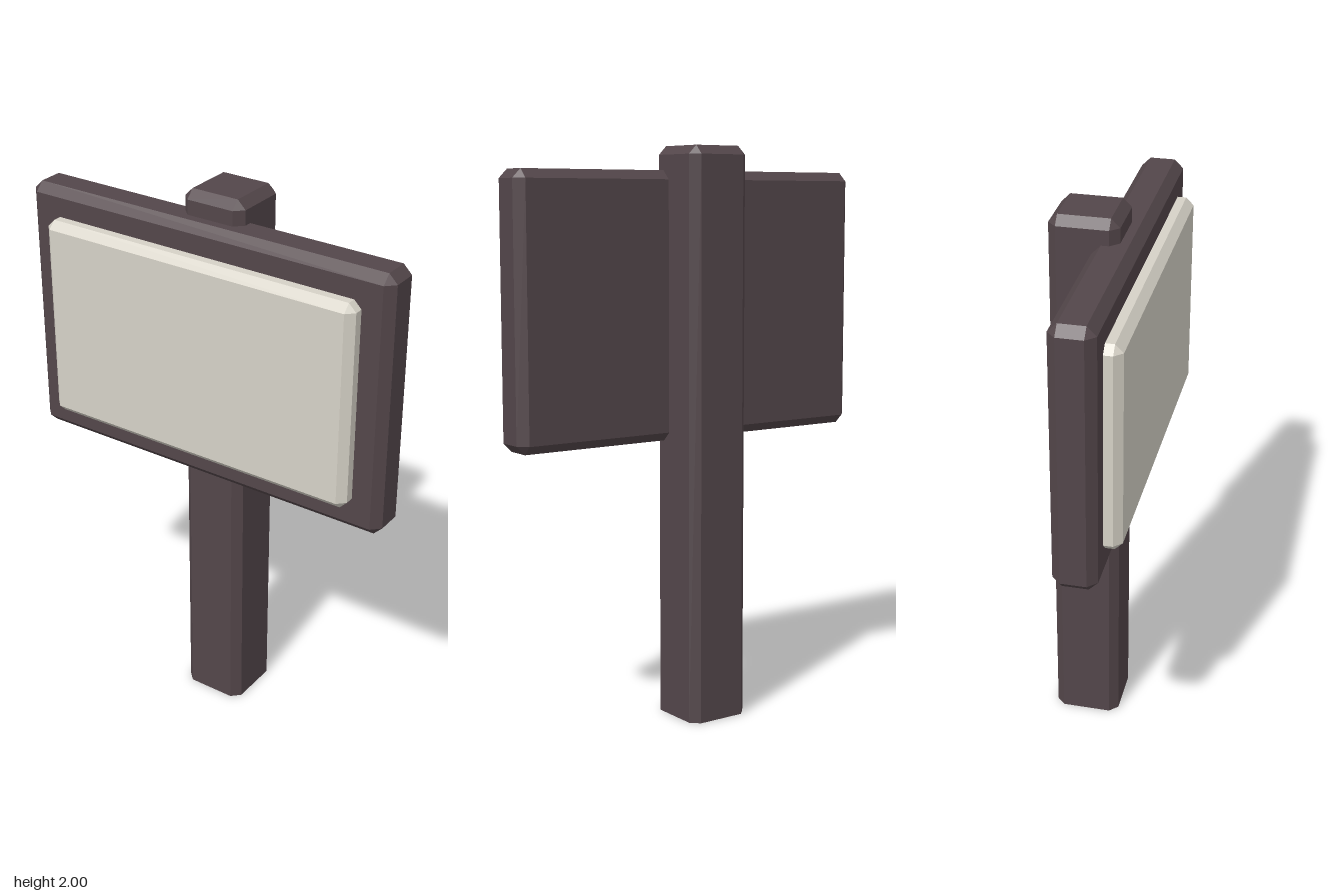
import * as THREE from 'three';
import { ConvexGeometry } from 'three/addons/geometries/ConvexGeometry.js';

// Box between two corners with every edge cut at 45 degrees; the base can stay square
function chamferedBox([x0, y0, z0], [x1, y1, z1], c, flatBase = false) {
  const points = [];
  for (const [x, sx] of [[x0, 1], [x1, -1]])
    for (const [y, sy] of [[y0, 1], [y1, -1]])
      for (const [z, sz] of [[z0, 1], [z1, -1]]) {
        const cy = flatBase && sy > 0 ? 0 : c * sy;
        points.push(
          new THREE.Vector3(x, y + cy, z + c * sz),
          new THREE.Vector3(x + c * sx, y + cy, z)
        );
        if (cy !== 0) points.push(new THREE.Vector3(x + c * sx, y, z + c * sz));
      }
  return new ConvexGeometry(points);
}

export function createModel() {
  const model = new THREE.Group();
  model.name = 'signpost';

  const darkWood = new THREE.MeshStandardMaterial({ color: 0x53464a });
  darkWood.name = 'dark wood';
  const paleBoard = new THREE.MeshStandardMaterial({ color: 0xd6d2c7 });
  paleBoard.name = 'pale board';

  function add(name, geometry, material) {
    const mesh = new THREE.Mesh(geometry, material);
    mesh.name = name;
    model.add(mesh);
  }

  // Upright post, square at the ground
  add('post', chamferedBox([-0.118, 0, -0.178], [0.118, 2, 0.058], 0.03, true), darkWood);

  // Wide board set into the front of the post
  add('backBoard', chamferedBox([-0.707, 0.986, -0.03], [0.707, 1.918, 0.12], 0.031), darkWood);

  // Blank raised panel on the board
  add('signPanel', chamferedBox([-0.605, 1.085, 0.03], [0.605, 1.818, 0.178], 0.027), paleBoard);

  return model;
}
